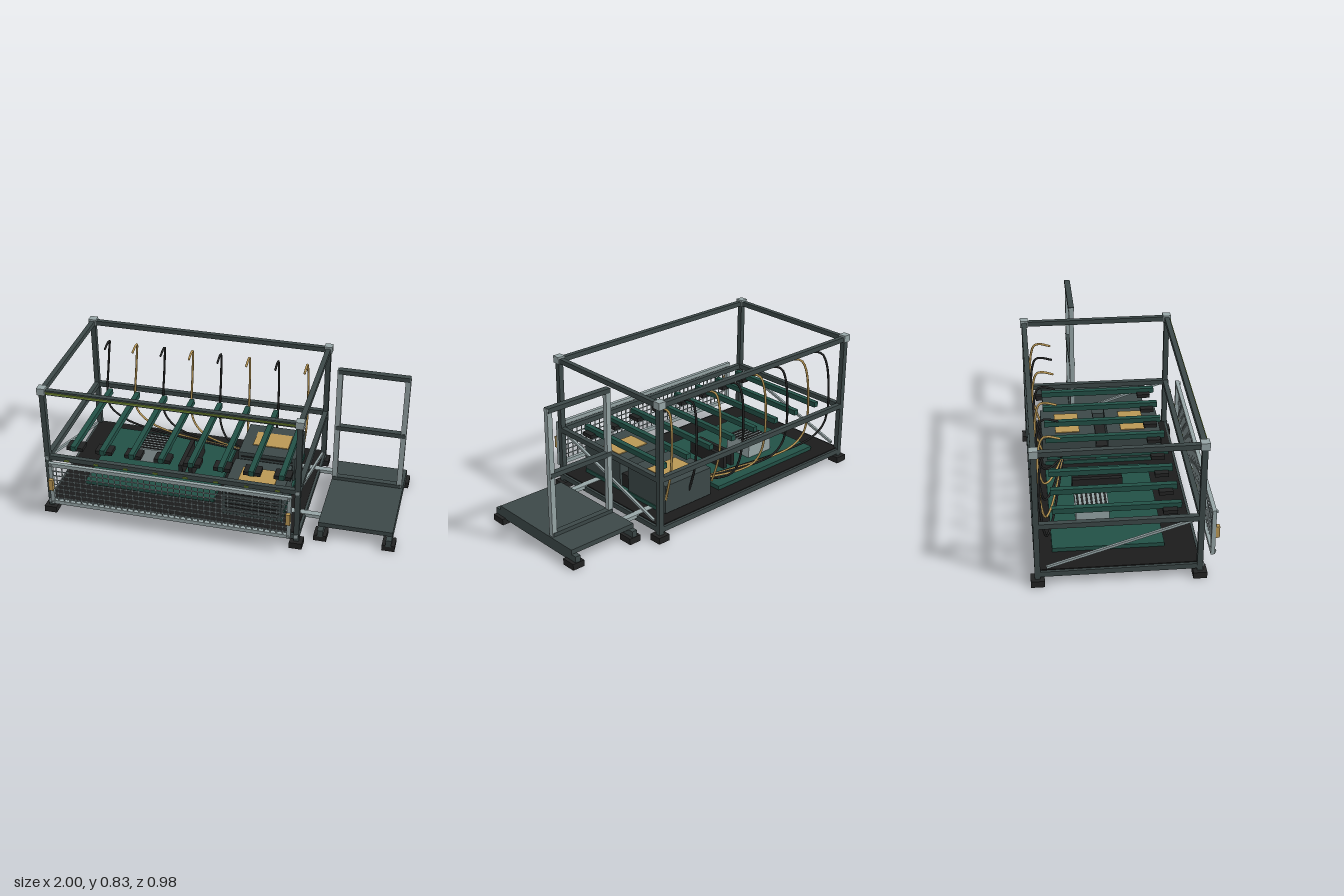
import * as THREE from 'three';

const mat = (name, color) => {
  const m = new THREE.MeshStandardMaterial({ color });
  m.name = name;
  return m;
};

export function createModel() {
  const root = new THREE.Group();
  root.name = 'equipmentSkid';
  const steel = mat('dark steel', 0x3c4848);
  const alloy = mat('light alloy', 0x96a5a6);
  const green = mat('deep green', 0x225046);
  const black = mat('black rubber', 0x222323);
  const floorMat = mat('floor black', 0x1b1b1b);
  const tan = mat('tan', 0xba9855);
  const olive = mat('olive', 0x7f9838);

  // Box given by its limits on each axis
  const box = (name, m, x0, x1, y0, y1, z0, z1, parent = root) => {
    const mesh = new THREE.Mesh(new THREE.BoxGeometry(x1 - x0, y1 - y0, z1 - z0), m);
    mesh.position.set((x0 + x1) / 2, (y0 + y1) / 2, (z0 + z1) / 2);
    mesh.name = name;
    parent.add(mesh);
    return mesh;
  };
  const group = (name) => {
    const g = new THREE.Group();
    g.name = name;
    root.add(g);
    return g;
  };

  // Cage frame: posts, feet, corner blocks and rails
  const XL = -0.965, XR = 0.465, ZF = 0.386, ZB = -0.453, H = 0.015;
  const cage = group('cageFrame');
  for (const x of [XL, XR]) {
    for (const z of [ZF, ZB]) {
      box('post', steel, x - H, x + H, 0.035, 0.79, z - H, z + H, cage);
      box('foot', black, x - 0.036, x + 0.036, 0, 0.037, z - 0.036, z + 0.036, cage);
      box('cornerBlock', alloy, x - 0.023, x + 0.023, 0.77, 0.811, z - 0.023, z + 0.023, cage);
    }
  }
  for (const [y0, y1] of [[0.05, 0.08], [0.347, 0.376], [0.772, 0.8]]) {
    for (const z of [ZF, ZB]) box('longRail', steel, XL, XR, y0, y1, z - 0.014, z + 0.014, cage);
    for (const x of [XL, XR]) box('sideRail', steel, x - 0.014, x + 0.014, y0, y1, ZB, ZF, cage);
  }
  for (const x of [XL, XR]) {
    for (const y of [0.07, 0.36]) box('bolt', alloy, x - 0.01, x + 0.01, y - 0.01, y + 0.01, ZF + H, ZF + H + 0.006, cage);
  }
  box('topRailStrip', olive, -0.94, 0.44, 0.781, 0.79, 0.4, 0.406, cage);
  box('floor', floorMat, XL, XR, 0.058, 0.085, ZB, ZF, cage);

  // Diagonal side braces
  for (const x of [XL, XR]) {
    const a = new THREE.Vector3(x, 0.1, -0.405), b = new THREE.Vector3(x, 0.352, 0.36);
    const brace = new THREE.Mesh(new THREE.BoxGeometry(0.014, 0.014, a.distanceTo(b)), alloy);
    brace.position.copy(a).lerp(b, 0.5);
    brace.lookAt(b);
    brace.name = 'brace';
    root.add(brace);
  }

  // Cross beams with clamp blocks, and hoses hanging at the back
  const beams = group('crossBeams');
  const hoses = group('hoses');
  for (let i = 0; i < 8; i++) {
    const x = -0.85 + i * 0.172;
    box('beam', green, x - 0.015, x + 0.015, 0.356, 0.387, -0.367, 0.3, beams);
    box('clamp', black, x - 0.048, x + 0.048, 0.342, 0.364, 0.2, 0.275, beams);
    box('railMark', olive, x - 0.013, x + 0.013, 0.352, 0.361, 0.4, 0.406, beams);
    const s = (0.18 - x) * 0.04, d = 0.02 - x;
    const pts = [[x, 0.69, -0.312], [x, 0.705, -0.37], [x, 0.698, -0.4], [x - s * 0.3, 0.64, -0.421],
      [x - s * 0.7, 0.5, -0.43], [x - s, 0.34, -0.421]];
    if (x < 0) {
      pts.push([x - s * 0.6, 0.24, -0.405], [x + 0.07 * d, 0.178, -0.388],
        [x + 0.27 * d, 0.145, -0.355], [0.03, 0.135, -0.26]);
    } else pts.push([x - s * 0.8, 0.25, -0.4], [x, 0.17, -0.375]);
    const path = new THREE.CatmullRomCurve3(pts.map((p) => new THREE.Vector3(...p)));
    const hose = new THREE.Mesh(new THREE.TubeGeometry(path, 48, 0.0065, 8), i % 2 ? tan : black);
    hose.name = 'hose';
    hoses.add(hose);
    for (const [at, c] of [[0, path.getPoint(0)], [1, path.getPoint(1)]]) {
      const cap = new THREE.Mesh(new THREE.SphereGeometry(0.0066, 8, 6), i % 2 ? tan : black);
      cap.position.copy(c);
      cap.name = at ? 'hoseEnd' : 'hoseTip';
      hoses.add(cap);
    }
  }

  // Green base plates with the vented box and upright fins
  const unit = group('pumpUnit');
  box('basePlate', green, -0.82, -0.05, 0.085, 0.108, -0.37, 0.22, unit);
  box('generatorBase', green, 0.02, 0.365, 0.085, 0.108, -0.365, 0.305, unit);
  box('ventBox', alloy, -0.61, -0.43, 0.108, 0.198, -0.23, -0.05, unit);
  for (let i = 0; i < 7; i++) {
    const z = -0.215 + i * 0.025;
    box('ventSlot', black, -0.605, -0.435, 0.197, 0.202, z - 0.006, z + 0.006, unit);
  }
  for (const x of [-0.295, -0.235]) box('fin', black, x - 0.012, x + 0.012, 0.108, 0.188, -0.23, 0.05, unit);

  // Twin cabinets with tan lids and front louvres
  const cabinets = group('cabinets');
  for (const [z0, z1, t0, t1] of [[0, 0.31, 0.08, 0.22], [-0.38, -0.07, -0.3, -0.16]]) {
    box('cabinet', steel, 0.025, 0.36, 0.09, 0.256, z0, z1, cabinets);
    box('lid', tan, 0.09, 0.3, 0.254, 0.261, t0, t1, cabinets);
    for (let i = 0; i < 6; i++) {
      const y = 0.11 + i * 0.023;
      box('louvre', black, 0.04, 0.345, y, y + 0.008, z1 - 0.002, z1 + 0.006, cabinets);
    }
  }
  box('coupling', black, 0.04, 0.345, 0.108, 0.186, -0.072, 0.002, cabinets);

  // Detached front mesh guard
  const guard = group('meshGuard');
  const gx0 = -0.935, gx1 = 0.445, gz0 = 0.447, gz1 = 0.469;
  box('guardTop', alloy, gx0, gx1, 0.35, 0.372, gz0, gz1, guard);
  box('guardBottom', alloy, gx0, gx1, 0.1, 0.122, gz0, gz1, guard);
  for (const [x0, side] of [[gx0, 1], [gx1 - 0.022, -1]]) {
    box('guardSide', alloy, x0, x0 + 0.022, 0.12, 0.352, gz0, gz1, guard);
    const cx = x0 + 0.011 + side * 0.003;
    box('handle', tan, cx - 0.012, cx + 0.012, 0.203, 0.272, gz1, 0.49, guard);
    for (const y of [0.111, 0.361]) box('guardBolt', alloy, cx - 0.007, cx + 0.007, y - 0.007, y + 0.007, gz1, gz1 + 0.008, guard);
  }
  for (let i = 1; i < 40; i++) {
    const x = gx0 + 0.011 + (i * (gx1 - gx0 - 0.022)) / 40;
    box('meshUpright', alloy, x - 0.0025, x + 0.0025, 0.12, 0.352, 0.463, 0.468, guard);
  }
  for (let i = 1; i < 8; i++) {
    const y = 0.115 + i * 0.03;
    box('meshBar', alloy, gx0 + 0.02, gx1 - 0.02, y - 0.0025, y + 0.0025, 0.467, 0.472, guard);
  }

  // Side platform with beams, feet and link arms
  const platform = group('platform');
  box('deck', steel, 0.565, 0.98, 0.07, 0.097, -0.352, 0.28, platform);
  for (const x of [0.583, 0.964]) {
    box('deckBeam', steel, x - 0.016, x + 0.016, 0.03, 0.071, -0.385, 0.322, platform);
    for (const z of [0.278, -0.347]) box('platformFoot', black, x - 0.036, x + 0.036, 0, 0.036, z - 0.042, z + 0.042, platform);
  }
  for (const z of [-0.263, 0.188]) box('linkArm', alloy, 0.36, 0.6, 0.066, 0.087, z - 0.018, z + 0.018, platform);

  // Handrail
  const rail = group('handrail');
  for (const x of [0.58, 0.957]) {
    box('railPost', alloy, x - 0.015, x + 0.015, 0.097, 0.826, -0.184, -0.156, rail);
  }
  box('topRail', steel, 0.57, 0.967, 0.802, 0.828, -0.187, -0.153, rail);
  box('midRail', steel, 0.57, 0.967, 0.437, 0.464, -0.187, -0.153, rail);
  box('toeBoard', steel, 0.57, 0.967, 0.097, 0.118, -0.187, -0.153, rail);

  return root;
}
